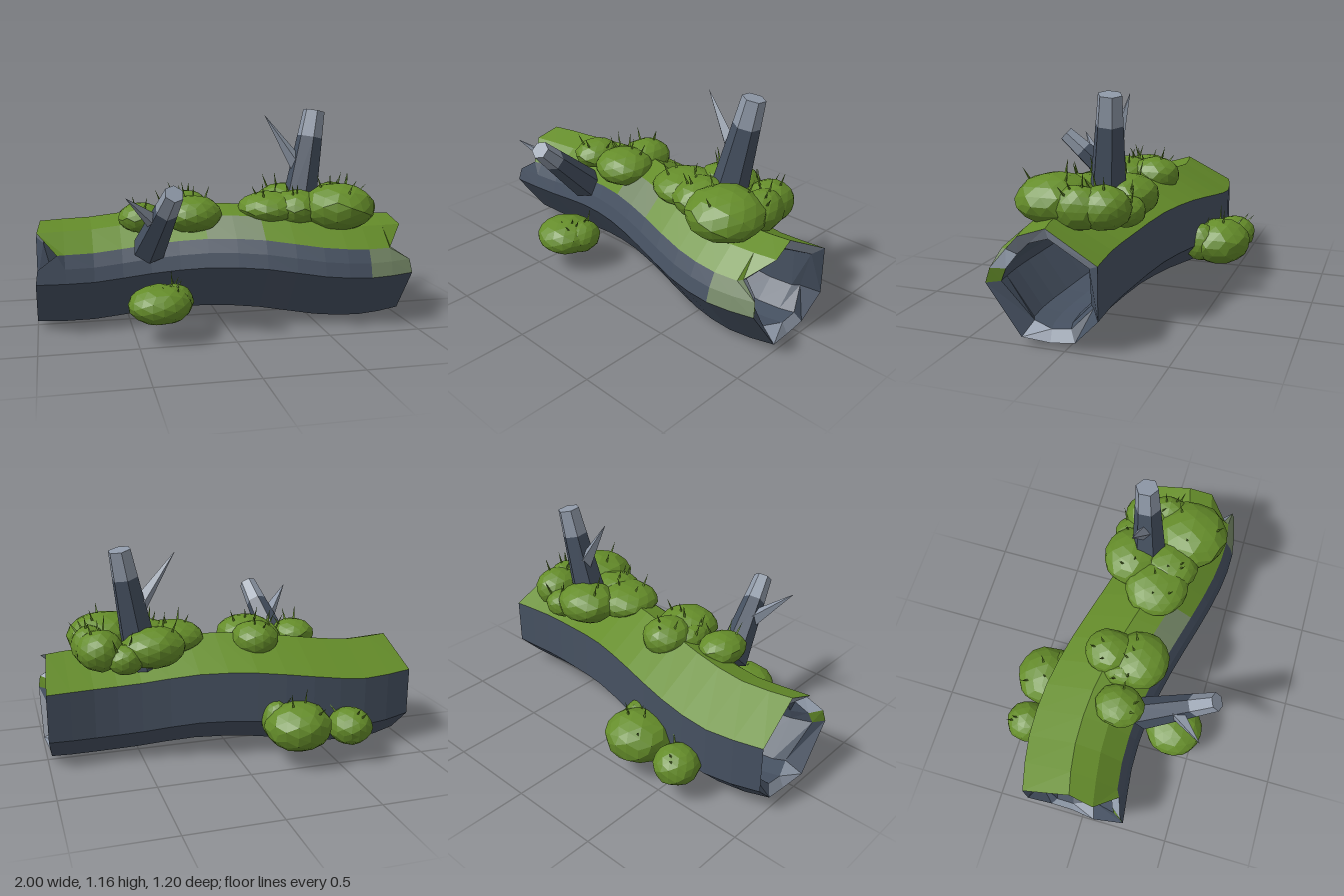
import * as THREE from 'three';

const mat = (name, color) => Object.assign(new THREE.MeshStandardMaterial({ color }), { name });

// faceted normals: every triangle keeps its own corners
function facet(geo) {
  const g = geo.index ? geo.toNonIndexed() : geo;
  g.computeVertexNormals();
  return g;
}

export function createModel() {
  const root = new THREE.Group();
  root.name = 'mossyHollowLog';
  const bark = mat('slate bark', 0x465161);
  const wood = mat('pale wood', 0x8f99a8);
  const moss = mat('moss green', 0x658d2a);
  const blend = mat('thin moss', 0x768968);
  bark.side = wood.side = moss.side = blend.side = THREE.DoubleSide;

  const add = (name, geo, material, parent = root) => {
    const m = new THREE.Mesh(facet(geo), material);
    m.name = name;
    parent.add(m);
    return m;
  };

  // Log: one cross-section swept along a winding centre line.
  // Each corner: z, y, depth of the break at the outer edge and at the inner edge
  const section = [
    [0, 0.285, 0.03, 0.06], [0.14, 0.24, 0.01, 0.07], [0.26, 0.135, 0.11, 0.13], [0.295, 0.065, 0.01, 0.06],
    [0.315, -0.01, 0, 0.04], [0.125, -0.27, 0, 0.09], [-0.02, -0.29, 0.02, 0.05], [-0.15, -0.275, 0.02, 0.05],
    [-0.28, -0.14, 0, 0.09], [-0.28, 0.135, 0, 0.04],
  ];
  const centre = new THREE.CatmullRomCurve3([
    [-1, 0.3, -0.05], [-0.7, 0.29, -0.1], [-0.4, 0.325, -0.09], [-0.1, 0.355, -0.03],
    [0.2, 0.35, 0.05], [0.5, 0.31, 0.115], [0.75, 0.295, 0.135], [1, 0.3, 0.1],
  ].map(p => new THREE.Vector3(...p)));
  const last = 14, n = section.length;
  const path = centre.getPoints(last);

  const ring = (i, scale, breakIndex) => section.map(corner => {
    const p = path[i];
    const s = scale * (1 - 0.05 * Math.abs(p.x) ** 6);
    const cut = i === 0 ? corner[breakIndex] : i === last ? -corner[breakIndex] : 0;
    return [p.x + cut, p.y + corner[1] * s, p.z + corner[0] * s];
  });
  const outer = path.map((_, i) => ring(i, 1, 2));
  // the hollow flares towards both ends
  const inner = path.map((p, i) => ring(i, 0.73 + 0.06 * Math.abs(p.x) ** 8, 3));

  const faces = { bark: [], moss: [], blend: [], lining: [], rim: [], rimMoss: [] };
  const quad = (list, a, b, c, d) => list.push(...a, ...b, ...c, ...a, ...c, ...d);
  for (let i = 0; i < last; i++) {
    const x = (path[i].x + path[i + 1].x) / 2;
    for (let j = 0; j < n; j++) {
      const k = (j + 1) % n;
      let part = j < 2 || j === n - 1 ? 'moss' : 'bark';
      if ((j === 1 && x > -0.12 && x < 0.25) || ((j === 2 || j === 3) && x > 0.72)) part = 'blend';
      quad(faces[part], outer[i][j], outer[i][k], outer[i + 1][k], outer[i + 1][j]);
      quad(faces.lining, inner[i][j], inner[i + 1][j], inner[i + 1][k], inner[i][k]);
    }
  }
  // splintered rims: pale along the top and floor, one mossy chip, weathered elsewhere
  const rimParts = ['rim', 'rim', 'rim', 'rimMoss', 'lining', 'rim', 'rim', 'lining', 'lining', 'rim'];
  rimParts.forEach((part, j) => {
    const k = (j + 1) % n;
    quad(faces[part], outer[0][j], inner[0][j], inner[0][k], outer[0][k]);
    quad(faces[part], outer[last][j], outer[last][k], inner[last][k], inner[last][j]);
  });
  const skins = {
    bark: ['logBark', bark], moss: ['logMossTop', moss], blend: ['logMossEdge', blend],
    lining: ['logHollow', bark], rim: ['brokenRim', wood], rimMoss: ['mossyRimChip', moss],
  };
  for (const [key, [name, material]] of Object.entries(skins)) {
    const g = new THREE.BufferGeometry();
    g.setAttribute('position', new THREE.Float32BufferAttribute(faces[key], 3));
    add(name, g, material);
  }

  // Tapered rod between two points
  const rod = (name, a, b, ra, rb, material, parent, sides = 6) => {
    const A = new THREE.Vector3(...a), B = new THREE.Vector3(...b);
    const d = B.clone().sub(A);
    const m = add(name, new THREE.CylinderGeometry(rb, ra, d.length(), sides), material, parent);
    m.position.copy(A).add(B).multiplyScalar(0.5);
    m.quaternion.setFromUnitVectors(new THREE.Vector3(0, 1, 0), d.normalize());
  };

  // Branch stumps with a pale tip and one pointed twig
  const branch = (name, a, b, ra, rb, t, twigA, twigB) => {
    const g = new THREE.Group();
    g.name = name;
    root.add(g);
    const mid = a.map((v, i) => v + (b[i] - v) * t), rm = ra + (rb - ra) * t;
    rod('branchBark', a, mid, ra, rm, bark, g);
    rod('branchTip', mid, b, rm, rb, wood, g);
    rod('twig', twigA, twigB, 0.045, 0.001, wood, g, 4);
  };
  branch('tallBranch', [0.46, 0.5, -0.01], [0.58, 1.145, -0.072], 0.108, 0.062, 0.77, [0.48, 0.84, -0.05], [0.29, 1.12, -0.07]);
  branch('frontBranch', [-0.41, 0.44, 0.19], [-0.33, 0.79, 0.565], 0.09, 0.05, 0.72, [-0.4, 0.62, 0.38], [-0.56, 0.77, 0.53]);

  // Moss clumps: centre x, y, z, then radii x, y, z; each carries a few grass blades
  let seed = 7;
  const rand = () => (seed = (seed * 16807) % 2147483647) / 2147483647;
  const clumps = [
    [-0.44, 0.59, 0.07, 0.12, 0.08, 0.135],
    [-0.165, 0.61, -0.06, 0.13, 0.1, 0.145], [-0.165, 0.605, 0.11, 0.165, 0.1, 0.16], [-0.27, 0.59, 0.04, 0.07, 0.08, 0.11],
    [0.42, 0.62, -0.1, 0.175, 0.11, 0.165], [0.28, 0.62, 0.08, 0.18, 0.09, 0.18], [0.42, 0.62, 0.12, 0.15, 0.1, 0.16],
    [0.64, 0.63, 0.19, 0.205, 0.13, 0.205], [0.7, 0.62, -0.08, 0.125, 0.11, 0.14], [0.74, 0.62, 0.03, 0.1, 0.11, 0.14],
    [0.58, 0.58, -0.15, 0.1, 0.08, 0.1],
    [-0.38, 0.19, 0.38, 0.165, 0.1, 0.165], [-0.3, 0.19, 0.34, 0.1, 0.09, 0.12],
    [-0.29, 0.21, -0.42, 0.18, 0.13, 0.18], [-0.2, 0.22, -0.33, 0.08, 0.11, 0.1], [-0.58, 0.19, -0.45, 0.12, 0.1, 0.125],
  ];
  clumps.forEach(([x, y, z, rx, ry, rz], index) => {
    const g = new THREE.Group();
    g.name = 'mossClump';
    root.add(g);
    // uneven cushion
    const ball = new THREE.IcosahedronGeometry(1, 2);
    const pos = ball.attributes.position;
    const v = new THREE.Vector3();
    for (let i = 0; i < pos.count; i++) {
      v.fromBufferAttribute(pos, i);
      v.multiplyScalar(1 + 0.035 * Math.sin(5 * v.x + 7 * v.y + index) * Math.cos(6 * v.z + 2 * v.x + index));
      pos.setXYZ(i, v.x, v.y, v.z);
    }
    ball.scale(rx, ry, rz);
    add('mossCushion', ball, moss, g).position.set(x, y, z);
    for (let i = 0; i < 3; i++) {
      const a = rand() * Math.PI * 2, r = 0.2 + rand() * 0.5;
      const c = Math.cos(a) * r, s = Math.sin(a) * r;
      const p = [x + c * rx, y + ry * Math.sqrt(1 - r * r) - 0.012, z + s * rz];
      const h = 0.04 + rand() * 0.05;
      rod('grassBlade', p, [p[0] + c * 0.06, p[1] + h, p[2] + s * 0.06], 0.008, 0.0005, moss, g, 3);
    }
  });
  return root;
}
